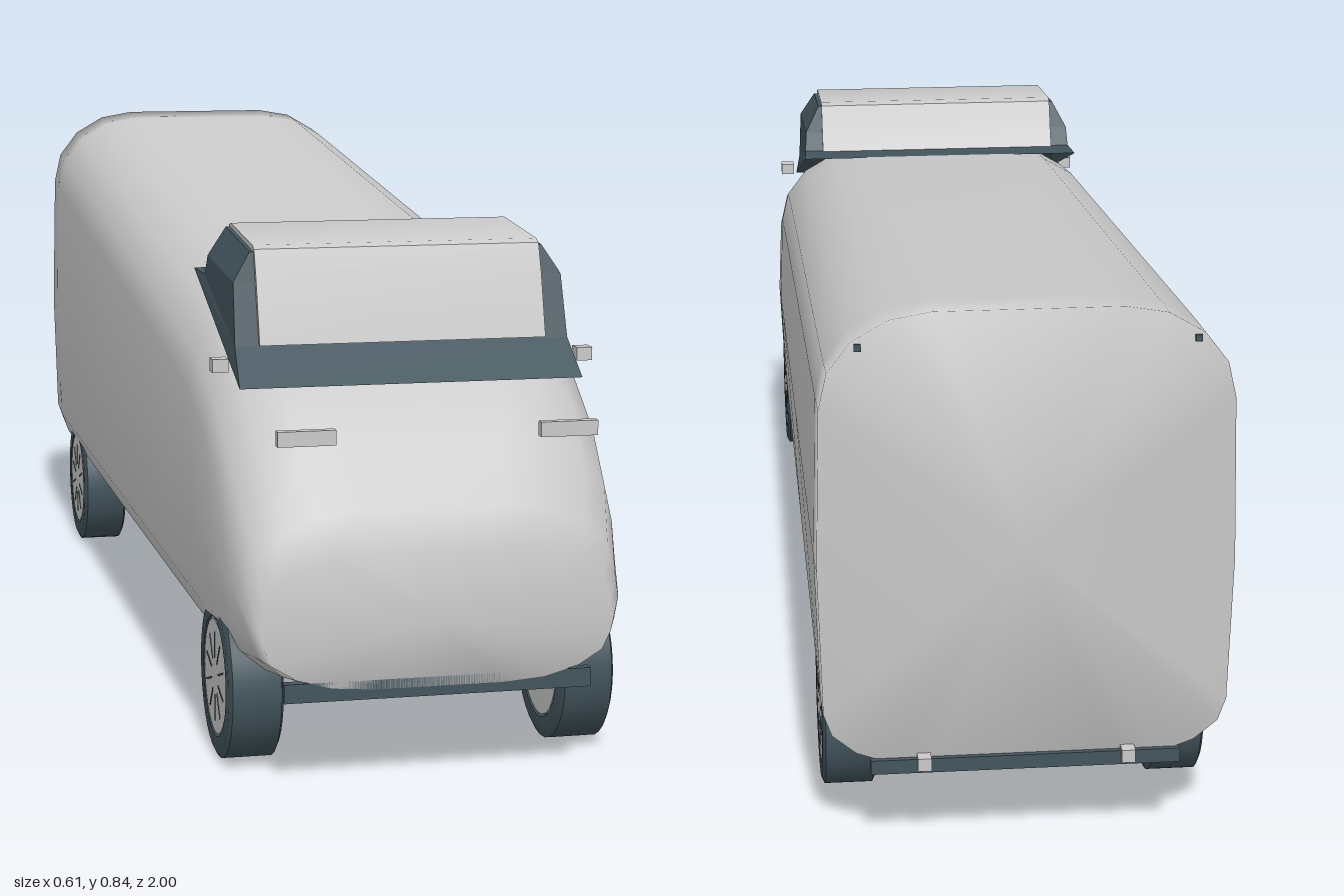
import * as THREE from 'three';
import { toCreasedNormals } from 'three/addons/utils/BufferGeometryUtils.js';

// Skin a list of equal-length rings; optional fan caps at the first and last ring
function loft(rings, capStart, capEnd) {
  const n = rings[0].length, pos = [], idx = [];
  rings.forEach(r => r.forEach(p => pos.push(...p)));
  for (let s = 0; s < rings.length - 1; s++) {
    for (let i = 0; i < n; i++) {
      const j = (i + 1) % n, a = s * n + i, b = s * n + j;
      idx.push(a, a + n, b, b, a + n, b + n);
    }
  }
  const cap = (s, flip) => {
    const c = pos.length / 3;
    pos.push(...[0, 1, 2].map(k => rings[s].reduce((t, p) => t + p[k], 0) / n));
    for (let i = 0; i < n; i++) {
      const a = s * n + i, b = s * n + (i + 1) % n;
      idx.push(c, flip ? b : a, flip ? a : b);
    }
  };
  if (capStart) cap(0, false);
  if (capEnd) cap(rings.length - 1, true);
  const g = new THREE.BufferGeometry();
  g.setAttribute('position', new THREE.Float32BufferAttribute(pos, 3));
  g.setIndex(idx);
  g.computeVertexNormals();
  return g;
}

// Rounded, slightly bulging body cross-section
function bodyRing([z, w, yb, yt]) {
  const h = yt - yb, rx = 0.16, top = Math.min(0.14, 0.42 * h), low = Math.min(0.09, 0.33 * h);
  const half = [];
  for (let i = 0; i <= 4; i++) {
    const a = (i / 4 - 1) * Math.PI / 2;
    half.push([w * 0.98 - rx + rx * Math.cos(a), yb + low + low * Math.sin(a), z]);
  }
  half.push([w, yb + h * 0.45, z]);
  for (let i = 0; i <= 4; i++) {
    const a = i / 4 * Math.PI / 2;
    half.push([w * 0.98 - rx + rx * Math.cos(a), yt - top + top * Math.sin(a), z]);
  }
  return [...half, ...half.slice().reverse().map(([x, y, zz]) => [-x, y, zz])];
}

export function createModel() {
  const model = new THREE.Group();
  const paint = new THREE.MeshStandardMaterial({ color: 0xcacaca });
  paint.name = 'light grey paint';
  const dark = new THREE.MeshStandardMaterial({ color: 0x43555d, side: THREE.DoubleSide });
  dark.name = 'dark slate';

  const add = (name, geo, mat, x = 0, y = 0, z = 0, parent = model) => {
    const m = new THREE.Mesh(geo, mat);
    m.name = name;
    m.position.set(x, y, z);
    parent.add(m);
    return m;
  };
  const box = (name, mat, w, h, d, x, y, z) =>
    add(name, new THREE.BoxGeometry(w, h, d), mat, x, y, z);

  // Body: z, half width, bottom, top
  const sections = [
    [1.0, 0.262, 0.145, 0.345], [0.97, 0.278, 0.138, 0.4], [0.91, 0.292, 0.133, 0.495],
    [0.83, 0.299, 0.13, 0.565], [0.73, 0.302, 0.128, 0.625], [0.6, 0.303, 0.128, 0.668],
    [0.45, 0.303, 0.128, 0.69], [-0.2, 0.303, 0.128, 0.758], [-0.9, 0.303, 0.13, 0.831],
    [-0.98, 0.302, 0.14, 0.839],
  ];
  add('body', loft(sections.map(bodyRing), true, true), paint);

  // Dark cab with a flared brim: half width and height at front and back, top to bottom
  const cabRing = ([wf, yf, zf, wb, yb, zb]) =>
    [[wf, yf, zf], [wb, yb, zb], [-wb, yb, zb], [-wf, yf, zf]];
  const cab = loft([
    [0.225, 0.748, 0.738, 0.225, 0.766, 0.552],
    [0.252, 0.705, 0.75, 0.25, 0.72, 0.532],
    [0.255, 0.612, 0.778, 0.252, 0.688, 0.515],
    [0.26, 0.56, 0.84, 0.256, 0.69, 0.445],
  ].map(cabRing), true, false).toNonIndexed();
  cab.computeVertexNormals();
  add('cabSurround', cab, dark);

  // Light panel wrapping the front, roof and back of the cab
  const profile = new THREE.Shape([
    [0.785, 0.614], [0.758, 0.71], [0.742, 0.752], [0.73, 0.757], [0.56, 0.772],
    [0.546, 0.768], [0.525, 0.72], [0.507, 0.688],
  ].map(([z, y]) => new THREE.Vector2(-z, y)));
  const panel = new THREE.ExtrudeGeometry(profile, { depth: 0.438, bevelEnabled: false });
  panel.translate(0, 0, -0.219);
  panel.rotateY(Math.PI / 2);
  add('cabPanel', toCreasedNormals(panel, 0.6), paint);

  // Wheels
  const tyreProfile = [[0, -0.036], [0.085, -0.036], [0.09, -0.041], [0.112, -0.041], [0.122, -0.036],
    [0.122, 0.036], [0.112, 0.041], [0.09, 0.041], [0.085, 0.036], [0, 0.036]]
    .map(([r, y]) => new THREE.Vector2(r, y));
  const tyreGeo = toCreasedNormals(new THREE.LatheGeometry(tyreProfile, 32), 0.5);
  tyreGeo.rotateZ(Math.PI / 2);
  const hubGeo = new THREE.CylinderGeometry(0.086, 0.086, 0.08, 32);
  hubGeo.rotateZ(Math.PI / 2);
  for (const side of [1, -1]) {
    for (const [name, z] of [['frontWheel', 0.8], ['rearWheel', -0.72]]) {
      const wheel = new THREE.Group();
      wheel.name = name;
      wheel.position.set(side * 0.251, 0.122, z);
      model.add(wheel);
      add('tyre', tyreGeo, dark, 0, 0, 0, wheel);
      add('hub', hubGeo, paint, 0, 0, 0, wheel);
      // Thin slots between the spokes
      for (let i = 0; i < 10; i++) {
        const slot = new THREE.BoxGeometry(0.002, 0.04, 0.003);
        slot.translate(0, 0.048, 0);
        slot.rotateX(i * Math.PI / 5);
        add('spokeSlot', slot, dark, side * 0.04, 0, 0, wheel);
      }
    }
    // Lamps, mirrors and rear fittings
    box('headlamp', paint, 0.085, 0.022, 0.014, side * 0.193, 0.512, 0.984);
    box('mirror', paint, 0.024, 0.02, 0.024, side * 0.279, 0.587, 0.778);
    box('rearLamp', paint, 0.02, 0.02, 0.026, side * 0.15, 0.152, -0.987);
    box('rearMarker', dark, 0.01, 0.01, 0.008, side * 0.24, 0.79, -0.98);
  }

  // Bumpers
  box('frontBumper', dark, 0.456, 0.028, 0.016, 0, 0.145, 0.992);
  box('rearBumper', dark, 0.456, 0.022, 0.012, 0, 0.145, -0.982);
  return model;
}
